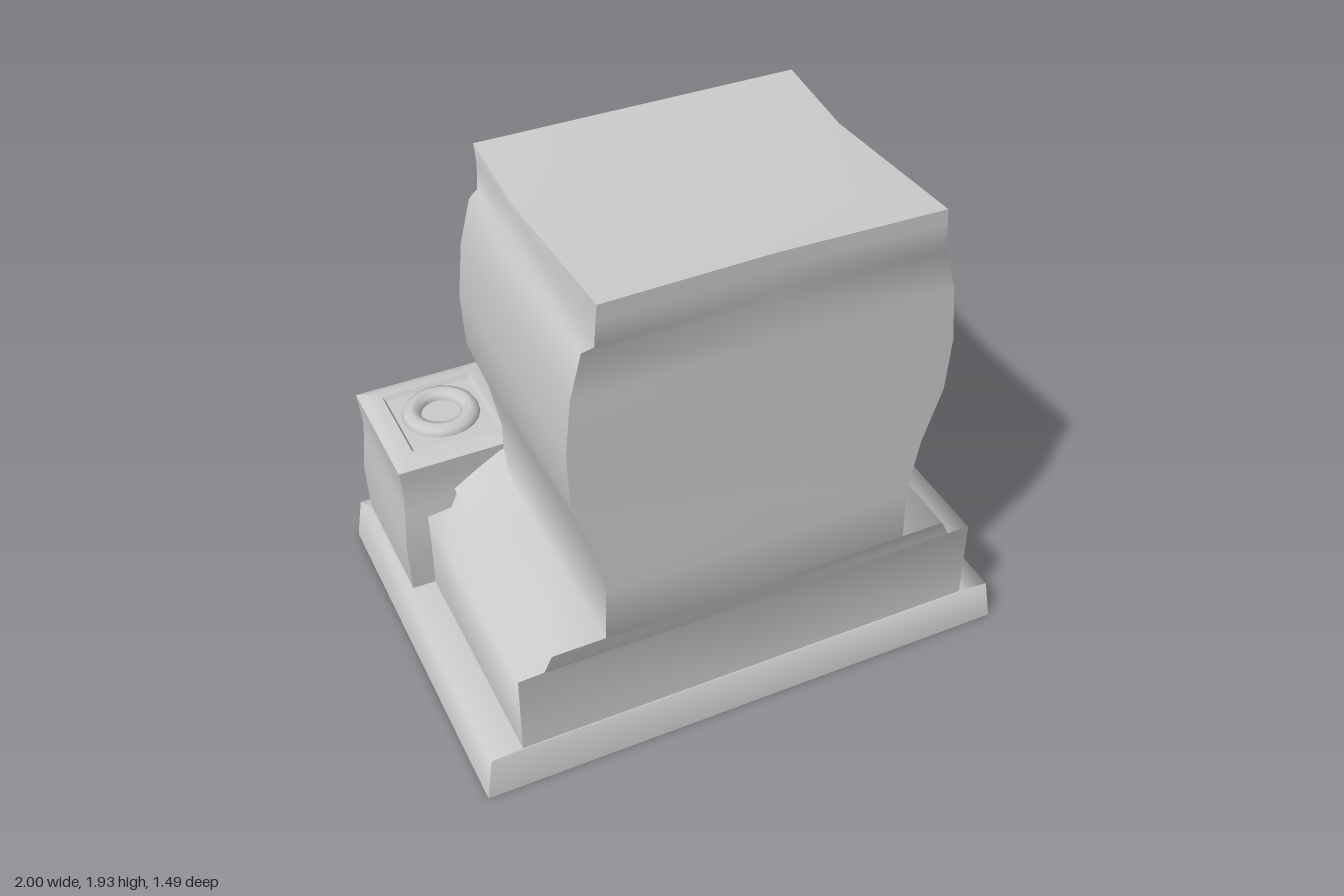
import * as THREE from 'three';
import { mergeGeometries, toCreasedNormals } from 'three/addons/utils/BufferGeometryUtils.js';

const mat = new THREE.MeshStandardMaterial({ color: 0xcccccc, side: THREE.DoubleSide });

// Skin rows of [x, y, z] points; closed joins the last column to the first
function skin(rows, closed = false, crease = 0.6) {
  const n = rows[0].length, index = [];
  for (let r = 0; r < rows.length - 1; r++) {
    for (let c = 0; c < (closed ? n : n - 1); c++) {
      const a = r * n + c, b = r * n + (c + 1) % n;
      index.push(a, b, a + n, b, b + n, a + n);
    }
  }
  const g = new THREE.BufferGeometry();
  g.setAttribute('position', new THREE.Float32BufferAttribute(rows.flat(2), 3));
  g.setIndex(index);
  return toCreasedNormals(g.toNonIndexed(), crease);
}

// Chosen sides of a stack of rings (0 front, 2 left, 4 back, 6 right):
// soft up each side, sharp at the corners
const skinSides = (rings, sides) => mergeGeometries(sides.map(c =>
  skin(rings.map(r => [r[c], r[c + 1], r[(c + 2) % 8]]), false, Math.PI)));

function add(parent, name, geometry, x = 0, y = 0, z = 0) {
  const m = new THREE.Mesh(geometry, mat);
  m.name = name;
  m.position.set(x, y, z);
  parent.add(m);
  return m;
}

// Rectangular ring with midpoints; zc is the front middle, sag lowers the sides
function ring(y, w, zf, zb, zc = zf, sag = 0) {
  return [[-w, y, zf], [0, y, zc], [w, y, zf], [w, y - sag, 0.1],
    [w, y, zb], [0, y, zb], [-w, y, zb], [-w, y - sag, 0.1]];
}

// Mirror half a station list about x = 0, from +x to -x
const mirrorRows = half => [
  ...half,
  ...half.slice(0, -1).reverse().map(row => row.map(([x, y, z]) => [-x, y, z])),
];

export function createModel() {
  const model = new THREE.Group();
  model.name = 'stoneFaceShrine';

  // Plinth, open underneath, its ledge running just under the pillar edges
  add(model, 'plinth', skinSides([
    ring(0, 1, 0.7, -0.74),
    ring(0.165, 0.975, 0.69, -0.735),
    [[-0.86, 0.17, 0.685], [0, 0.17, 0.685], [0.86, 0.17, 0.685], [0.86, 0.17, -0.19],
      [0.935, 0.17, -0.67], [0, 0.17, -0.64], [-0.935, 0.17, -0.67], [-0.86, 0.17, -0.19]],
  ], [0, 2, 4, 6]));

  // Stepped shoulders, bulging head and the rim of the roof slab;
  // the back panel starts above the hollow base
  const roofEdge = ring(1.935, 0.57, 0.745, -0.225, 0.73, 0.04);
  const headRings = [
    ring(0.17, 0.86, 0.685, -0.2), ring(0.49, 0.86, 0.685, -0.2, 0.69),
    ring(0.5, 0.77, 0.69, -0.2, 0.695), ring(0.56, 0.74, 0.69, -0.2, 0.705),
    ring(0.59, 0.56, 0.715, -0.2, 0.715), ring(0.8, 0.555, 0.715, -0.19, 0.72),
    ring(1.0, 0.595, 0.71, -0.19, 0.72), ring(1.2, 0.66, 0.71, -0.19, 0.72),
    ring(1.4, 0.67, 0.715, -0.19, 0.72), ring(1.6, 0.65, 0.715, -0.19, 0.72),
    ring(1.76, 0.61, 0.715, -0.19, 0.722), ring(1.79, 0.58, 0.742, -0.19, 0.724),
    ring(1.88, 0.575, 0.745, -0.19, 0.728), roofEdge,
  ];
  add(model, 'head', skinSides(headRings, [0, 2, 6]));
  add(model, 'headBack', skinSides(headRings.slice(4), [4]));
  add(model, 'roof', skin([roofEdge, Array(8).fill([0, 1.915, 0.25])], true));

  // Face plate, bulging slightly towards the middle: [y, half width, bulge]
  const faceRows = [
    [0.6, 0.55, 0.01], [0.8, 0.555, 0.01], [1.0, 0.595, 0.015], [1.2, 0.66, 0.03],
    [1.4, 0.67, 0.04], [1.55, 0.655, 0.05], [1.64, 0.64, 0.06], [1.72, 0.62, 0.04],
    [1.78, 0.6, 0.025], [1.79, 0.59, 0],
  ].map(([y, w, b]) => {
    const row = [];
    for (let i = -6; i <= 6; i++) {
      const u = i / 6;
      row.push([u * w, y, -0.19 - Math.min(1, 2.2 * (1 - Math.abs(u))) * b]);
    }
    return row;
  });
  add(model, 'facePlate', skin(faceRows, false, 1));

  // Muzzle: an arch of lip and cheeks around the open mouth
  add(model, 'muzzle', skin(mirrorRows([
    [[0.46, 0.6, -0.19], [0.43, 0.6, -0.32], [0.38, 0.6, -0.41], [0.35, 0.6, -0.39], [0.35, 0.6, -0.19]],
    [[0.45, 0.8, -0.19], [0.41, 0.8, -0.31], [0.37, 0.8, -0.42], [0.345, 0.8, -0.39], [0.345, 0.8, -0.19]],
    [[0.46, 1.0, -0.19], [0.4, 1.0, -0.3], [0.365, 1.0, -0.4], [0.345, 1.0, -0.37], [0.345, 1.0, -0.19]],
    [[0.48, 1.24, -0.2], [0.42, 1.2, -0.31], [0.37, 1.14, -0.39], [0.34, 1.09, -0.38], [0.34, 1.09, -0.19]],
    [[0.27, 1.34, -0.22], [0.25, 1.27, -0.32], [0.23, 1.17, -0.4], [0.22, 1.12, -0.39], [0.22, 1.12, -0.19]],
    [[0, 1.36, -0.23], [0, 1.28, -0.33], [0, 1.18, -0.415], [0, 1.13, -0.4], [0, 1.13, -0.19]],
  ]), false, 1.1));

  // Upper teeth
  for (let i = -3; i <= 3; i++) {
    const tooth = new THREE.ConeGeometry(0.06, 0.05, 4);
    tooth.rotateX(Math.PI);
    const m = add(model, 'upperTooth', toCreasedNormals(tooth, 0.3),
      i * 0.097, 1.11 - Math.abs(i) * 0.009, -0.38);
    m.scale.z = 0.4;
  }

  // Nose: [y, half width, side z, ridge z]
  const noseRows = [
    [1.61, 0.05, -0.23, -0.25], [1.56, 0.06, -0.24, -0.33], [1.49, 0.08, -0.25, -0.42],
    [1.37, 0.14, -0.27, -0.48], [1.3, 0.17, -0.3, -0.475], [1.25, 0.14, -0.29, -0.38],
    [1.24, 0.1, -0.22, -0.24],
  ].map(([y, w, zs, zr]) => [[-w, y, -0.2], [-w * 0.9, y, zs - 0.03],
    [-w * 0.4, y, zs * 0.45 + zr * 0.55], [0, y, zr], [w * 0.4, y, zs * 0.45 + zr * 0.55],
    [w * 0.9, y, zs - 0.03], [w, y, -0.2]]);
  add(model, 'nose', skin(noseRows, false, 1.1));

  // Lower jaw bulging between the pillars: [y, z, middle bulge]
  const jawRows = [
    [0.62, -0.19, 0], [0.63, -0.38, 0], [0.7, -0.44, 0.01], [0.69, -0.53, 0.05],
    [0.6, -0.57, 0.06], [0.45, -0.6, 0.045], [0.32, -0.59, 0.02], [0.22, -0.61, 0.01],
    [0.17, -0.65, 0],
  ].map(([y, z, b]) => {
    const row = [];
    for (let i = -8; i <= 8; i++) {
      const u = i / 8, mid = 1 - THREE.MathUtils.smoothstep(Math.abs(u), 0.35, 0.6);
      row.push([u * 0.465, y - (y > 0.5 ? 0.06 * u * u : 0), z - b * mid]);
    }
    return row;
  });
  add(model, 'lowerJaw', skin(jawRows, false, 1));

  for (const s of [1, -1]) {
    const side = s > 0 ? 'left' : 'right';

    // Eye: faceted socket and rounded rim around a sunken pupil
    const eye = new THREE.Group();
    eye.name = side + 'Eye';
    eye.position.set(s * 0.26, 1.44, -0.24);
    eye.rotation.y = -s * 0.12;
    const socket = new THREE.CylinderGeometry(0.145, 0.12, 0.1, 8, 1, true);
    socket.rotateX(Math.PI / 2);
    socket.scale(1, 1, -1);
    add(eye, 'socket', toCreasedNormals(socket, 0.5));
    add(eye, 'rim', new THREE.TorusGeometry(0.09, 0.042, 8, 16), 0, 0, -0.03);
    add(eye, 'pupil', new THREE.SphereGeometry(0.06, 10, 8), 0, 0, 0.025);
    model.add(eye);

    // Low corner tooth
    const lump = add(model, side + 'LowerTooth', new THREE.SphereGeometry(0.06, 10, 6),
      s * 0.31, 0.66, -0.4);
    lump.scale.set(1, 0.7, 0.7);

    // Shoulder rising towards the pillar
    add(model, side + 'ShoulderRise', skin([
      [[s * 0.555, 0.585, 0], [s * 0.75, 0.55, 0]],
      [[s * 0.555, 0.62, -0.14], [s * 0.75, 0.565, -0.14]],
      [[s * 0.555, 0.71, -0.195], [s * 0.75, 0.58, -0.195]],
    ], false, Math.PI));

    // Pillar: the shaft is open where it meets the jaw and shoulder,
    // under a closed block with a stepped top and stone ring
    const pillar = new THREE.Group();
    pillar.name = side + 'Pillar';
    pillar.position.set(s * 0.7, 0, -0.435);
    const shaft = [[0.17, 0.245], [0.27, 0.25], [0.38, 0.253], [0.5, 0.243], [0.55, 0.239]]
      .map(([y, h]) => [[-s * h, y, -0.1], [-s * h, y, -h], [s * h, y, -h], [s * h, y, h], [s * 0.05, y, h]]);
    add(pillar, 'shaft', skin(shaft, false, 0.4));
    const block = [[0.55, 0.239], [0.6, 0.236],
      [0.7, 0.245], [0.725, 0.247], [0.74, 0.215], [0.745, 0.17], [0.73, 0.16], [0.73, 0]]
      .map(([y, h]) => [[-h, y, h], [h, y, h], [h, y, -h], [-h, y, -h]]);
    add(pillar, 'topBlock', skin(block, true, 0.4));
    const torus = new THREE.TorusGeometry(0.107, 0.038, 8, 20);
    torus.rotateX(Math.PI / 2);
    add(pillar, 'topRing', torus, 0, 0.725, -0.01);
    model.add(pillar);
  }

  return model;
}
